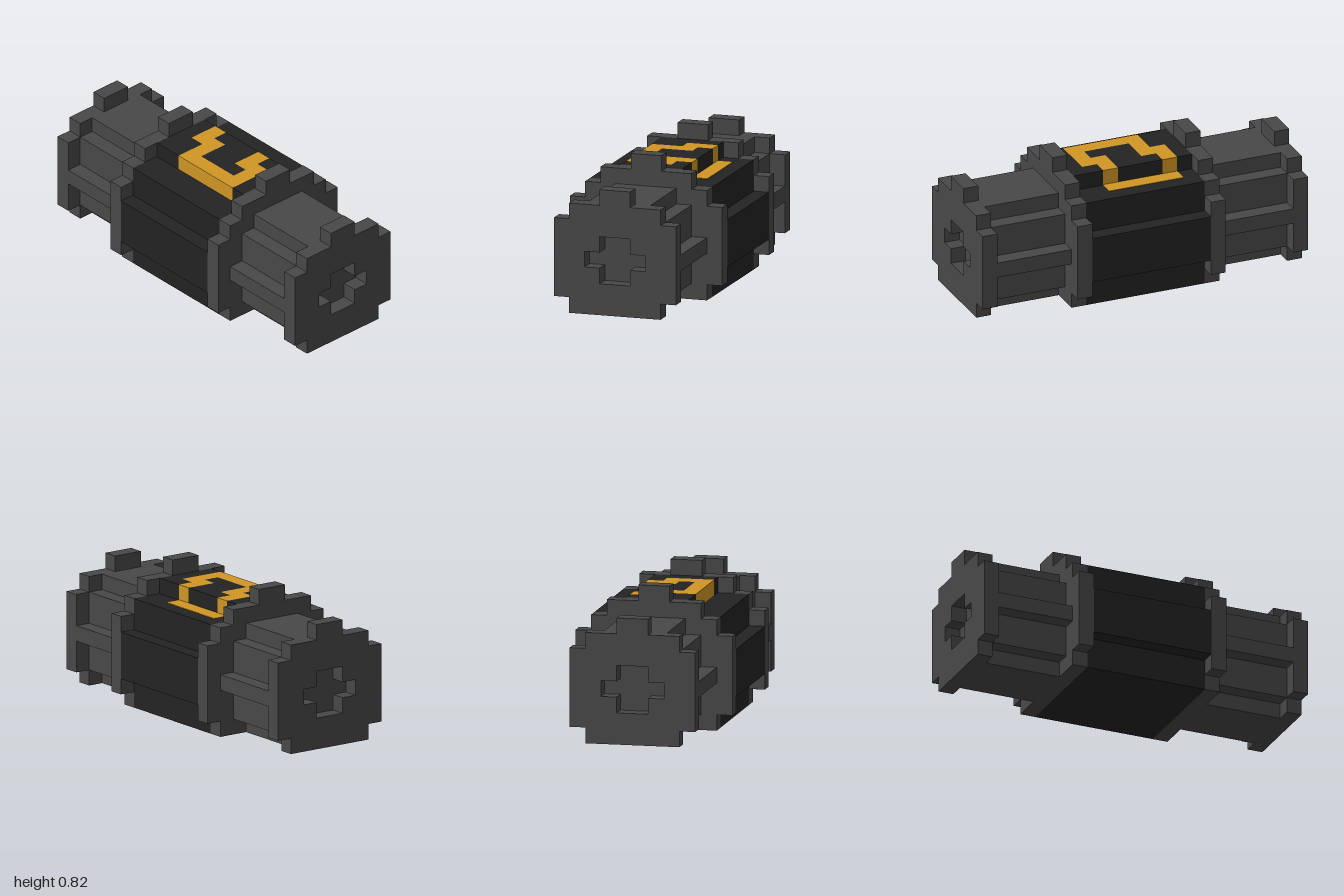
import * as THREE from 'three';

const U = 1 / 11; // one block

// Stepped outline, mirrored in z, from rows of [top of row, half width]
function outline(rows, bottom = 0) {
  const side = [];
  let y = bottom;
  for (const [top, half] of rows) {
    side.push([half, y], [half, top]);
    y = top;
  }
  const mirrored = side.map(([z, h]) => [-z, h]).reverse();
  return [...side, ...mirrored].map(([z, h]) => new THREE.Vector2(z * U, h * U));
}

export function createModel() {
  const group = new THREE.Group();
  const material = (name, color) => {
    const m = new THREE.MeshStandardMaterial({ color });
    m.name = name;
    return m;
  };
  const grey = material('casing grey', 0x484848);
  const dark = material('core black', 0x232323);
  const gold = material('emblem gold', 0xd09624);

  // Outline pushed along x from x0 to x1
  function section(name, rows, x0, x1, mat, hole) {
    const shape = new THREE.Shape(outline(rows));
    if (hole) shape.holes.push(new THREE.Path(hole));
    const geo = new THREE.ExtrudeGeometry(shape, { depth: (x1 - x0) * U, bevelEnabled: false });
    geo.rotateY(Math.PI / 2);
    geo.translate(x0 * U, 0, 0);
    const mesh = new THREE.Mesh(geo, mat);
    mesh.name = name;
    group.add(mesh);
  }

  function block(name, x0, x1, y0, y1, z0, z1, mat) {
    const mesh = new THREE.Mesh(new THREE.BoxGeometry((x1 - x0) * U, (y1 - y0) * U, (z1 - z0) * U), mat);
    mesh.position.set((x0 + x1) * U / 2, (y0 + y1) * U / 2, (z0 + z1) * U / 2);
    mesh.name = name;
    group.add(mesh);
  }

  const ring = [[1, 4], [6, 5], [7, 4], [8, 3], [9, 1]];
  const cap = [[1, 3], [6, 4], [7, 3], [8, 1]];
  const barrel = [[1, 2], [3, 3], [4, 4], [6, 3], [7, 2]];
  const core = [[2, 4], [5, 5], [7, 4]];
  const cross = outline([[3, 1], [4, 2], [5, 1]], 2);

  // Both ends: collar ring, ribbed barrel, cap with a cross-shaped recess
  for (const s of [-1, 1]) {
    const part = (name, rows, a, b, hole) =>
      section(name, rows, Math.min(s * a, s * b), Math.max(s * a, s * b), grey, hole);
    part('collarRing', ring, 4, 5);
    part('barrel', barrel, 5, 10);
    part('endCap', cap, 10, 11, cross);
  }

  // Dark core between the rings
  section('core', core, -4, 4, dark);

  // Raised top slab, one strip of blocks per row, with the gold runs let in
  const goldRuns = {
    '-2': [[-3, -2], [1, 2]],
    '-1': [[-3, -1], [1, 3]],
    '0': [[-2, -1], [2, 3]],
    '1': [[-2, 3]],
  };
  for (const [key, runs] of Object.entries(goldRuns)) {
    const z = Number(key);
    let x = -4;
    for (const [a, b] of runs) {
      block('topSlab', x, a, 7, 8, z, z + 1, dark);
      block('emblem', a, b, 7, 8, z, z + 1, gold);
      x = b;
    }
    block('topSlab', x, 4, 7, 8, z, z + 1, dark);
  }

  // Last emblem row lies on the lower step behind the slab
  block('emblemBackRow', -3, 2, 6.98, 7.03, -3, -2, gold);

  return group;
}
